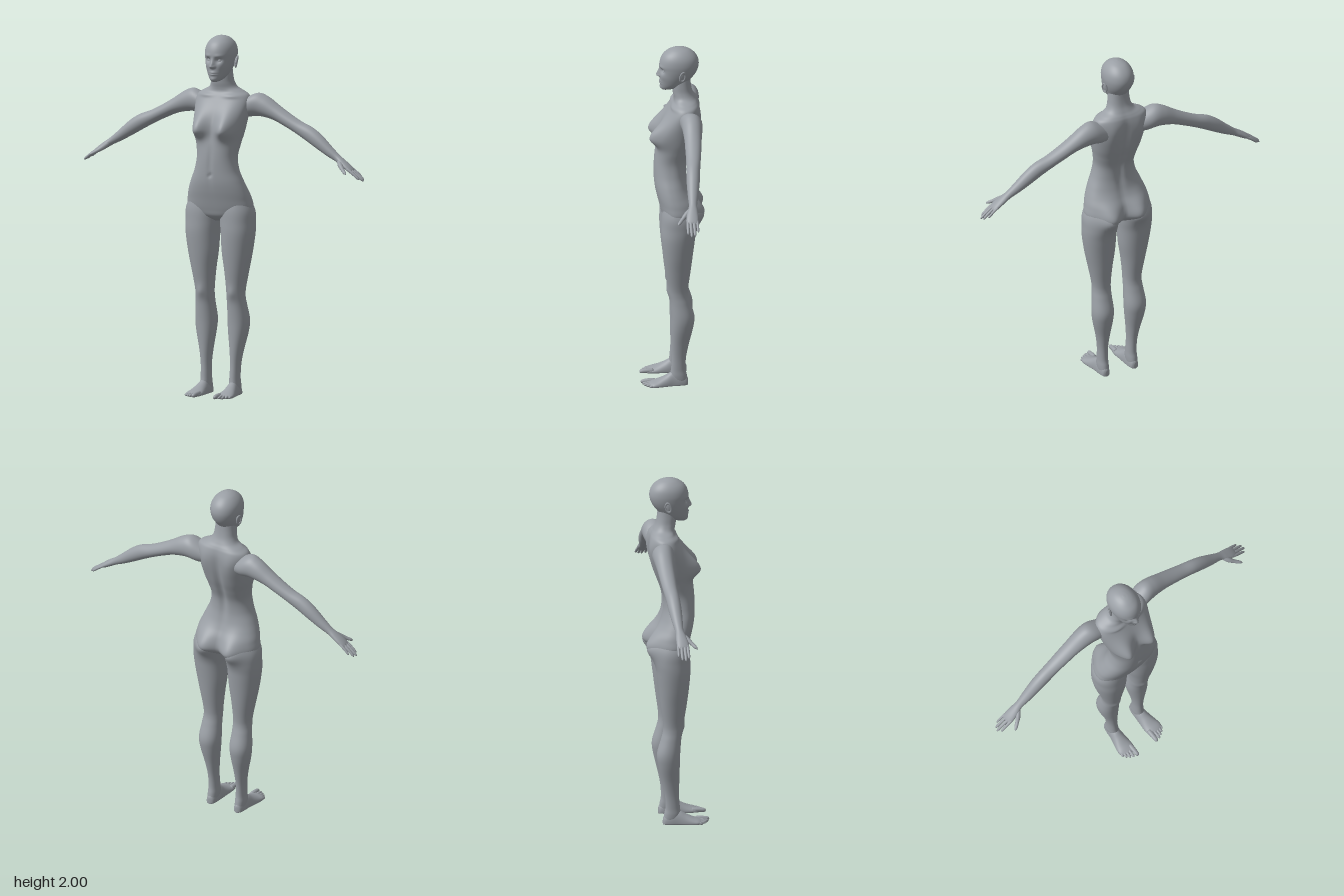
import * as THREE from 'three';

const clay = new THREE.MeshStandardMaterial({ color: 0x9a9fa5 });
clay.name = 'clayGrey';

// Catmull-Rom blend of whole rows of numbers
function sampleRows(rows, t) {
  const last = rows.length - 1, f = t * last, i = Math.min(Math.floor(f), last - 1), u = f - i;
  const [a, b, c, d] = [-1, 0, 1, 2].map((k) => rows[Math.min(Math.max(i + k, 0), last)]);
  return b.map((_, k) => b[k] + 0.5 * u * (c[k] - a[k]
    + u * (2 * a[k] - 5 * b[k] + 4 * c[k] - d[k] + u * (3 * (b[k] - c[k]) + d[k] - a[k]))));
}

// Closed skin through rings; place(row, cos, sin) returns one point
function loft(rows, steps, segs, place) {
  const pos = [], idx = [], n = steps + 1;
  for (let j = 0; j < n; j++) {
    const row = sampleRows(rows, j / steps);
    for (let i = 0; i < segs; i++) {
      const a = (i / segs) * Math.PI * 2;
      pos.push(...place(row, Math.cos(a), Math.sin(a)));
    }
  }
  for (const j of [0, steps]) {
    const mid = [0, 0, 0];
    for (let i = 0; i < segs; i++) for (let k = 0; k < 3; k++) mid[k] += pos[(j * segs + i) * 3 + k] / segs;
    pos.push(...mid);
  }
  for (let i = 0; i < segs; i++) {
    const i2 = (i + 1) % segs;
    for (let j = 0; j < steps; j++) {
      const a = j * segs + i, b = j * segs + i2, c = a + segs, d = b + segs;
      idx.push(a, c, b, b, c, d);
    }
    idx.push(n * segs, i, i2, n * segs + 1, steps * segs + i2, steps * segs + i);
  }
  // Turn the faces outward by the sign of the enclosed volume
  let vol = 0;
  const P = (k) => new THREE.Vector3().fromArray(pos, k * 3);
  for (let k = 0; k < idx.length; k += 3) vol += P(idx[k]).dot(P(idx[k + 1]).cross(P(idx[k + 2])));
  if (vol < 0) idx.reverse();
  const g = new THREE.BufferGeometry();
  g.setAttribute('position', new THREE.Float32BufferAttribute(pos, 3));
  g.setIndex(idx);
  g.computeVertexNormals();
  return g;
}

// Soft swellings and hollows: [x, y, amount, width, reach up, reach down, side (1 front, -1 back)]
const bodyBumps = [
  [0.083, 1.485, 0.068, 0.052, 0.085, 0.048, 1],    // breasts
  [0.088, 1.04, 0.062, 0.07, 0.09, 0.06, -1],       // buttocks
  [0.085, 1.59, 0.016, 0.05, 0.07, 0.1, -1],        // shoulder blades
  [0, 1.4, -0.016, 0.022, 0.2, 0.2, -1],            // spine
  [0, 1.3, -0.005, 0.014, 0.1, 0.1, 1],             // midline
  [0, 1.235, -0.008, 0.009, 0.011, 0.011, 1],       // navel
  [0.08, 1.668, 0.008, 0.05, 0.012, 0.012, 1],      // collarbones
  [0.096, 0.575, 0.008, 0.025, 0.035, 0.03, 1],     // kneecaps
];
const faceBumps = [
  [0, 1.838, 0.02, 0.012, 0.035, 0.01, 1],          // nose
  [0.012, 1.836, 0.006, 0.007, 0.008, 0.007, 1],    // nostrils
  [0.031, 1.872, -0.013, 0.017, 0.012, 0.014, 1],   // eye sockets
  [0.033, 1.896, 0.004, 0.022, 0.01, 0.008, 1],     // brows
  [0.045, 1.84, 0.004, 0.018, 0.02, 0.02, 1],       // cheeks
  [0, 1.798, 0.008, 0.021, 0.011, 0.011, 1],        // lips
  [0, 1.798, -0.005, 0.022, 0.0035, 0.0035, 1],     // mouth line
  [0, 1.766, 0.005, 0.018, 0.012, 0.012, 1],        // chin
];
function swell(bumps, x, y, z, s) {
  for (const [bx, by, amp, w, up, down, side] of bumps) {
    const dx = (Math.abs(x) - bx) / w, dy = (y - by) / (y > by ? up : down);
    z += side * amp * Math.exp(-dx * dx - dy * dy) * THREE.MathUtils.smoothstep(s * side, 0, 0.5);
  }
  return [x, y, z];
}

// Upright part; rows are [y, centre x, half width, front z, back z]
function upright(rows, steps, segs, bumps, power = 2, side = 1) {
  const q = (v) => Math.sign(v) * Math.abs(v) ** (2 / power);
  return loft(rows, steps, segs, ([y, cx, hw, zf, zb], c, s) =>
    swell(bumps, side * (cx + hw * q(c)), y, (zf + zb) / 2 + ((zf - zb) / 2) * q(s), s));
}

// Limb along its own direction; rows are [x, y, z, radius up, radius across]
function limb(rows, steps, segs, side) {
  const first = rows[0], last = rows[rows.length - 1];
  const d = new THREE.Vector3(last[0] - first[0], last[1] - first[1], last[2] - first[2]).normalize();
  const w = new THREE.Vector3().crossVectors(d, new THREE.Vector3(0, 1, 0)).normalize();
  const u = new THREE.Vector3().crossVectors(w, d);
  return loft(rows, steps, segs, ([x, y, z, ru, rw], c, s) => [
    side * (x + u.x * ru * s + w.x * rw * c), y + u.y * ru * s + w.y * rw * c, z + u.z * ru * s + w.z * rw * c]);
}

// Round-tipped finger or toe from a to b
function digit(a, b, r, side, bend = 0) {
  const at = (t, k) => [...a.map((v, i) => v + (b[i] - v) * t + (i === 1 ? bend * Math.sin(Math.PI * t) : 0)), r * k, r * k];
  return limb([at(0, 1), at(0.3, 1.02), at(0.6, 0.95), at(0.85, 0.85), at(0.96, 0.55), at(1, 0.1)], 15, 12, side);
}

const torsoRows = [
  [0.972, 0, 0.03, 0.01, -0.06], [1.0, 0, 0.13, 0.05, -0.1], [1.04, 0, 0.192, 0.065, -0.12],
  [1.1, 0, 0.188, 0.08, -0.115], [1.15, 0, 0.173, 0.092, -0.098], [1.2, 0, 0.153, 0.1, -0.085],
  [1.26, 0, 0.128, 0.102, -0.077], [1.33, 0, 0.115, 0.1, -0.082], [1.4, 0, 0.125, 0.092, -0.105],
  [1.46, 0, 0.138, 0.078, -0.125], [1.52, 0, 0.149, 0.068, -0.138], [1.58, 0, 0.158, 0.05, -0.146],
  [1.635, 0, 0.162, 0.022, -0.15], [1.67, 0, 0.15, 0.002, -0.146], [1.69, 0, 0.118, -0.008, -0.138],
  [1.71, 0, 0.082, -0.008, -0.126], [1.74, 0, 0.066, -0.002, -0.112], [1.78, 0, 0.06, 0.002, -0.104],
  [1.83, 0, 0.055, 0, -0.1],
];
const headRows = [
  [1.75, 0, 0.014, 0.052, 0.022], [1.757, 0, 0.028, 0.06, -0.01], [1.77, 0, 0.042, 0.064, -0.05],
  [1.79, 0, 0.055, 0.066, -0.085], [1.82, 0, 0.067, 0.068, -0.108], [1.85, 0, 0.076, 0.068, -0.13],
  [1.88, 0, 0.082, 0.068, -0.143], [1.91, 0, 0.084, 0.069, -0.147], [1.94, 0, 0.079, 0.061, -0.14],
  [1.965, 0, 0.066, 0.045, -0.123], [1.985, 0, 0.046, 0.018, -0.097], [1.996, 0, 0.024, -0.008, -0.067],
  [2.0, 0, 0.004, -0.032, -0.042],
];
const legRows = [
  [1.12, 0.105, 0.06, 0.045, -0.07], [1.04, 0.105, 0.096, 0.06, -0.11], [0.97, 0.107, 0.099, 0.064, -0.128],
  [0.9, 0.109, 0.095, 0.065, -0.122], [0.8, 0.105, 0.085, 0.057, -0.11], [0.7, 0.102, 0.068, 0.045, -0.098],
  [0.6, 0.097, 0.054, 0.03, -0.085], [0.55, 0.096, 0.052, 0.024, -0.084], [0.5, 0.098, 0.055, 0.016, -0.096],
  [0.42, 0.1, 0.061, 0.01, -0.118], [0.35, 0.099, 0.055, 0.008, -0.111], [0.25, 0.094, 0.037, 0.006, -0.088],
  [0.17, 0.091, 0.028, 0.005, -0.073], [0.1, 0.089, 0.028, 0.01, -0.07], [0.06, 0.089, 0.03, 0.015, -0.077],
  [0.03, 0.089, 0.028, 0.01, -0.08], [0.01, 0.089, 0.02, 0, -0.07],
];
const armRows = [
  [0.1, 1.6, -0.085, 0.055, 0.05], [0.165, 1.615, -0.095, 0.075, 0.06], [0.23, 1.611, -0.1, 0.061, 0.056],
  [0.31, 1.58, -0.1, 0.043, 0.048], [0.38, 1.545, -0.098, 0.037, 0.044], [0.45, 1.51, -0.095, 0.036, 0.04],
  [0.52, 1.477, -0.09, 0.041, 0.038], [0.58, 1.44, -0.087, 0.039, 0.036], [0.65, 1.39, -0.083, 0.029, 0.029],
  [0.7, 1.357, -0.08, 0.021, 0.023], [0.735, 1.334, -0.076, 0.019, 0.029], [0.77, 1.311, -0.073, 0.016, 0.033],
  [0.795, 1.295, -0.072, 0.01, 0.03], [0.803, 1.29, -0.072, 0.003, 0.024],
];
// Foot sections: [z, centre x, half width, top y]
const footRows = [
  [-0.084, 0.089, 0.008, 0.035], [-0.075, 0.089, 0.022, 0.052], [-0.045, 0.089, 0.03, 0.075],
  [0, 0.09, 0.034, 0.082], [0.04, 0.093, 0.04, 0.06], [0.08, 0.096, 0.046, 0.04],
  [0.11, 0.097, 0.046, 0.029], [0.13, 0.09, 0.036, 0.021], [0.138, 0.085, 0.024, 0.014],
];
// Fingers and toes as [start, tip, radius]
const fingers = [
  [[0.775, 1.306, -0.098], [0.84, 1.258, -0.103], 0.0075], [[0.78, 1.304, -0.081], [0.862, 1.245, -0.085], 0.0085],
  [[0.78, 1.304, -0.063], [0.868, 1.242, -0.066], 0.0088], [[0.775, 1.306, -0.047], [0.852, 1.25, -0.047], 0.0085],
];
const toes = [
  [[0.067, 0.017, 0.1], [0.067, 0.012, 0.177], 0.0135], [[0.088, 0.015, 0.1], [0.09, 0.01, 0.17], 0.009],
  [[0.104, 0.014, 0.1], [0.107, 0.009, 0.16], 0.0088], [[0.118, 0.013, 0.095], [0.123, 0.009, 0.148], 0.0085],
  [[0.13, 0.012, 0.085], [0.137, 0.008, 0.132], 0.008],
];

export function createModel() {
  const model = new THREE.Group();
  model.name = 'mannequin';
  const add = (name, geometry, parent = model) => {
    const mesh = new THREE.Mesh(geometry, clay);
    mesh.name = name;
    parent.add(mesh);
    return mesh;
  };

  add('torsoAndNeck', upright(torsoRows, 130, 96, bodyBumps, 2.25));
  add('head', upright(headRows, 120, 128, faceBumps, 2.1));

  for (const side of [1, -1]) {
    const half = new THREE.Group();
    half.name = side > 0 ? 'leftSide' : 'rightSide';
    model.add(half);

    add('leg', upright(legRows, 100, 56, bodyBumps, 2.1, side), half);
    add('foot', loft(footRows, 40, 36, ([z, cx, hw, top], c, s) => [
      side * (cx + hw * c), s > 0 ? 0.012 + (top - 0.012) * s : 0.012 * (1 - Math.sqrt(-s)), z]), half);
    for (const [a, b, r] of toes) add('toe', digit(a, b, r, side, 0.002), half);

    add('arm', limb(armRows, 90, 40, side), half);
    for (const [a, b, r] of fingers) add('finger', digit(a, b, r, side, 0.003), half);
    add('thumb', limb([
      [0.715, 1.344, -0.068, 0.012, 0.012], [0.738, 1.322, -0.042, 0.014, 0.014], [0.762, 1.304, -0.02, 0.01, 0.0105],
      [0.785, 1.29, -0.002, 0.008, 0.009], [0.796, 1.283, 0.007, 0.002, 0.002]], 24, 14, side), half);

    // Eyelids and ears
    const eye = add('eye', new THREE.SphereGeometry(1, 20, 14), half);
    eye.scale.set(0.014, 0.0085, 0.011);
    eye.position.set(side * 0.031, 1.871, 0.042);
    const ear = new THREE.Group();
    ear.name = 'ear';
    ear.position.set(side * 0.083, 1.856, -0.052);
    ear.rotation.set(-0.15, side * 0.35, side * -0.12);
    half.add(ear);
    add('earShell', new THREE.SphereGeometry(1, 18, 14), ear).scale.set(0.007, 0.03, 0.017);
    const rim = add('earRim', new THREE.TorusGeometry(0.016, 0.0042, 8, 28), ear);
    rim.rotation.y = Math.PI / 2;
    rim.scale.set(1, 1.75, 1);
    rim.position.x = side * 0.005;
  }
  return model;
}
